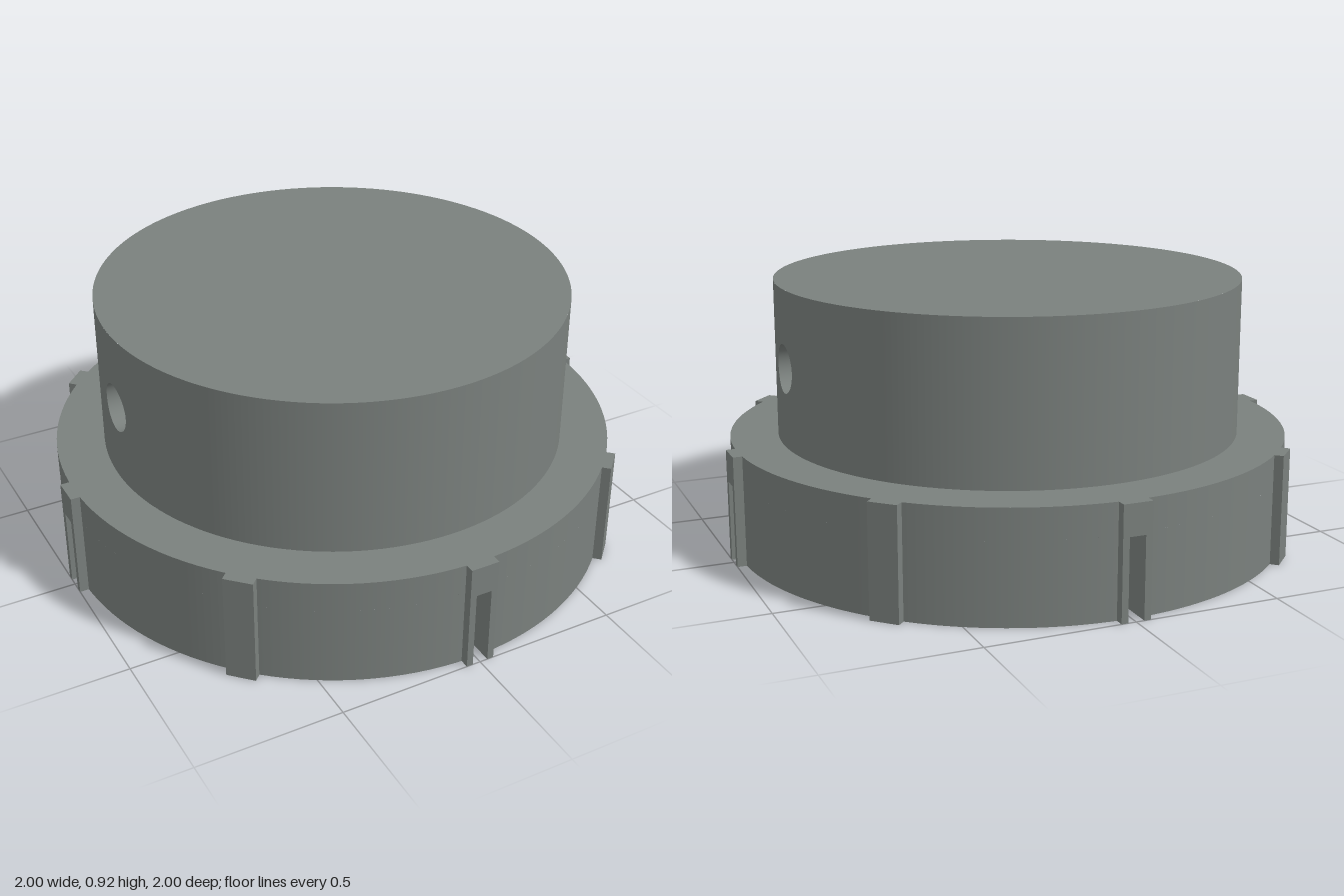
import * as THREE from 'three';
import { ParametricGeometry } from 'three/addons/geometries/ParametricGeometry.js';

const FLANGE_R = 0.97, FLANGE_TOP = 0.38;
const BODY_R = 0.805, TOP = 0.92;
const MOUTH_R = 0.70, LEDGE_Y = 0.44, BORE_R = 0.535, CEILING_Y = 0.82;
const SLOT_HALF = 0.0275, SLOT_TOP = 0.275;
const HOLE_R = 0.083, HOLE_Y = 0.65, PATCH = 0.3; // PATCH: half angle of the wall piece round a hole

const material = new THREE.MeshStandardMaterial({ color: 0x7a807d });
const thinMaterial = new THREE.MeshStandardMaterial({ color: 0x7a807d, side: THREE.DoubleSide });

function add(parent, name, geometry, mat = material) {
  const mesh = new THREE.Mesh(geometry, mat);
  mesh.name = name;
  parent.add(mesh);
  return mesh;
}

// Turns each straight piece of a profile [r, y] separately, so corners stay sharp.
// gap trims both ends of the sweep by a constant width, giving parallel slot sides.
function turn(parent, name, profile, start = 0, end = Math.PI * 2, gap = 0) {
  const segments = Math.ceil(128 * (end - start) / (Math.PI * 2));
  for (let i = 0; i < profile.length - 1; i++) {
    const [a, b] = [profile[i], profile[i + 1]];
    add(parent, name, new ParametricGeometry((u, v, p) => {
      const r = THREE.MathUtils.lerp(a[0], b[0], v);
      const trim = gap ? Math.asin(gap / r) : 0;
      const phi = THREE.MathUtils.lerp(start + trim, end - trim, u);
      p.set(r * Math.sin(phi), THREE.MathUtils.lerp(a[1], b[1], v), r * Math.cos(phi));
    }, segments, 1));
  }
}

// Point on a cylinder wall near +x; k = 0 on the hole's rim, 1 on the patch border
function wallPoint(r, y0, y1, u, k, p) {
  const t = u * Math.PI * 2, c = Math.cos(t), s = Math.sin(t);
  const m = Math.max(Math.abs(c), Math.abs(s));
  const phi = THREE.MathUtils.lerp(Math.asin(HOLE_R * c / r), PATCH * c / m, k);
  const reach = s > 0 ? y1 - HOLE_Y : HOLE_Y - y0;
  const y = HOLE_Y + THREE.MathUtils.lerp(HOLE_R * s, reach * s / m, k);
  return p.set(r * Math.cos(phi), y, -r * Math.sin(phi));
}

// Half of the upper walls: one cross hole and the plain wall beside it
function upperHalf() {
  const half = new THREE.Group();
  half.name = 'upperHalf';
  add(half, 'outerWallAroundHole', new ParametricGeometry((u, v, p) =>
    wallPoint(BODY_R, FLANGE_TOP, TOP, u, 1 - v, p), 64, 6));
  add(half, 'boreWallAroundHole', new ParametricGeometry((u, v, p) =>
    wallPoint(BORE_R, LEDGE_Y, CEILING_Y, u, v, p), 64, 6));
  add(half, 'crossHole', new ParametricGeometry((u, v, p) => {
    const inner = wallPoint(BORE_R, 0, 1, u, 0, new THREE.Vector3());
    wallPoint(BODY_R, 0, 1, u, 0, p).lerp(inner, v);
  }, 64, 1));
  const start = Math.PI / 2 + PATCH, end = Math.PI * 1.5 - PATCH;
  turn(half, 'outerWall', [[BODY_R, FLANGE_TOP], [BODY_R, TOP]], start, end);
  turn(half, 'boreWall', [[BORE_R, CEILING_Y], [BORE_R, LEDGE_Y]], start, end);
  return half;
}

// Grip rib on the flange, facing +z, with an optional slot from below
function ribGeometry(slotted) {
  const w = 0.05, s = SLOT_HALF;
  const points = slotted
    ? [[-w, 0], [-s, 0], [-s, SLOT_TOP], [s, SLOT_TOP], [s, 0], [w, 0], [w, FLANGE_TOP], [-w, FLANGE_TOP]]
    : [[-w, 0], [w, 0], [w, FLANGE_TOP], [-w, FLANGE_TOP]];
  const shape = new THREE.Shape(points.map(([x, y]) => new THREE.Vector2(x, y)));
  return new THREE.ExtrudeGeometry(shape, { depth: 0.035, bevelEnabled: false }).translate(0, 0, 0.965);
}

export function createModel() {
  const model = new THREE.Group();
  model.name = 'slottedCap';

  // Closed top, flange shoulder and stepped inside
  turn(model, 'flangeBand', [[FLANGE_R, SLOT_TOP], [FLANGE_R, FLANGE_TOP], [BODY_R, FLANGE_TOP]]);
  turn(model, 'topFace', [[BODY_R, TOP], [0.001, TOP]]);
  turn(model, 'ceiling', [[0.001, CEILING_Y], [BORE_R, CEILING_Y]]);
  turn(model, 'innerLedge', [[BORE_R, LEDGE_Y], [MOUTH_R, LEDGE_Y], [MOUTH_R, SLOT_TOP]]);

  for (const angle of [0, Math.PI]) {
    const half = upperHalf();
    half.rotation.y = angle;
    model.add(half);
  }

  // Lower flange: four sectors with an inner groove, parted by radial slots
  const lower = [
    [MOUTH_R, SLOT_TOP], [MOUTH_R, 0.135], [0.72, 0.135], [0.72, 0.10],
    [MOUTH_R, 0.10], [MOUTH_R, 0], [FLANGE_R, 0], [FLANGE_R, SLOT_TOP],
  ];
  const sideShape = new THREE.Shape(lower.map(([r, y]) => new THREE.Vector2(r, y)));
  const slotSide = new THREE.ShapeGeometry(sideShape).rotateY(-Math.PI / 2);
  const slotRoof = new THREE.PlaneGeometry(SLOT_HALF * 2, FLANGE_R - MOUTH_R)
    .rotateX(Math.PI / 2).translate(0, SLOT_TOP, (FLANGE_R + MOUTH_R) / 2);
  const slottedRib = ribGeometry(true), plainRib = ribGeometry(false);

  for (let i = 0; i < 4; i++) {
    const quarter = new THREE.Group();
    quarter.name = 'flangeQuarter';
    quarter.rotation.y = i * Math.PI / 2;
    turn(quarter, 'flangeSector', lower, 0, Math.PI / 2, SLOT_HALF);
    for (const side of [-1, 1]) {
      add(quarter, 'slotSide', slotSide, thinMaterial).position.x = side * SLOT_HALF;
    }
    add(quarter, 'slotRoof', slotRoof);
    add(quarter, 'slottedRib', slottedRib);
    add(quarter, 'plainRib', plainRib).rotation.y = Math.PI / 4;
    model.add(quarter);
  }
  return model;
}
